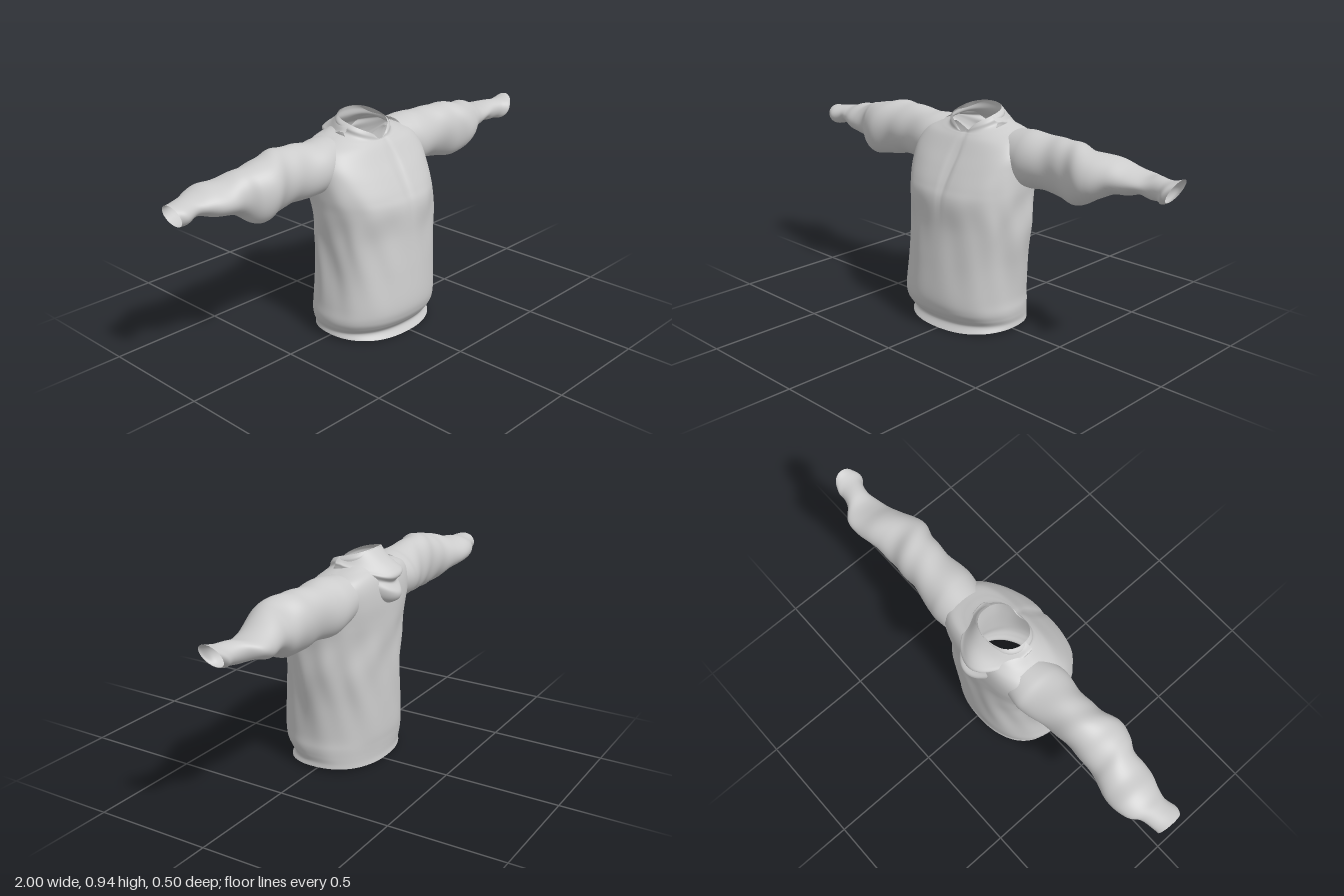
import * as THREE from 'three';

const material = new THREE.MeshStandardMaterial({ color: 0xcccccc, side: THREE.DoubleSide });

// Smoothly interpolate a table of cross-section rows at s in [0, 1]
function sampleRows(rows, s) {
  const f = s * (rows.length - 1), i = Math.min(Math.floor(f), rows.length - 2), t = f - i;
  const at = k => rows[Math.max(0, Math.min(rows.length - 1, k))];
  return rows[0].map((_, c) => {
    const a = at(i - 1)[c], b = at(i)[c], d = at(i + 1)[c], e = at(i + 2)[c];
    return b + 0.5 * t * (d - a + t * (2 * a - 5 * b + 4 * d - e + t * (3 * (b - d) + e - a)));
  });
}

// Grid surface; point(u, v) with u around and v along. Closed grids share the seam.
// Cells whose first corner satisfies isHole are left open.
function surface(name, nu, nv, closed, point, isHole = () => false) {
  const pos = [], idx = [], cols = closed ? nu : nu + 1;
  for (let j = 0; j <= nv; j++)
    for (let i = 0; i < cols; i++) pos.push(...point(i / nu, j / nv));
  for (let j = 0; j < nv; j++)
    for (let i = 0; i < nu; i++) {
      const k = (i + 1) % cols;
      const a = j * cols + i, b = j * cols + k, c = a + cols, d = b + cols;
      if (!isHole(...pos.slice(a * 3, a * 3 + 3))) idx.push(a, c, b, b, c, d);
    }
  const g = new THREE.BufferGeometry();
  g.setAttribute('position', new THREE.Float32BufferAttribute(pos, 3));
  g.setIndex(idx);
  g.computeVertexNormals();
  const mesh = new THREE.Mesh(g, material);
  mesh.name = name;
  return mesh;
}

const { smoothstep } = THREE.MathUtils;
const power = (v, p) => Math.sign(v) * Math.abs(v) ** p;
const bump = (v, centre, width) => Math.exp(-(((v - centre) / width) ** 2));

// Torso rows: y front, y back, centre x, half width, z front, z back
const torsoRows = [
  [0.002, 0.012, -0.015, 0.268, 0.217, -0.2],
  [0.035, 0.035, -0.015, 0.265, 0.2, -0.198],
  [0.065, 0.065, -0.02, 0.275, 0.222, -0.2],
  [0.1, 0.1, -0.022, 0.28, 0.242, -0.203],
  [0.16, 0.16, -0.02, 0.274, 0.25, -0.207],
  [0.3, 0.3, -0.01, 0.27, 0.236, -0.206],
  [0.45, 0.45, -0.002, 0.28, 0.218, -0.204],
  [0.57, 0.57, -0.008, 0.285, 0.216, -0.204],
  [0.63, 0.65, -0.013, 0.29, 0.195, -0.206],
  [0.7, 0.73, -0.016, 0.29, 0.155, -0.207],
  [0.76, 0.8, -0.016, 0.283, 0.115, -0.2],
  [0.81, 0.845, -0.015, 0.25, 0.082, -0.185],
  [0.832, 0.872, -0.015, 0.18, 0.064, -0.16],
  [0.838, 0.895, -0.016, 0.126, 0.058, -0.145],
  [0.848, 0.922, -0.017, 0.118, 0.056, -0.142],
  [0.86, 0.938, -0.018, 0.103, 0.052, -0.138],
];

function torsoPoint(u, v) {
  const [yf, yb, cx, w, zf, zb] = sampleRows(torsoRows, v);
  const a = u * Math.PI * 2, c = Math.cos(a), s = Math.sin(a);
  // Squarer across the chest and shoulders, rounder at the hem and neck
  const p = 0.88 - 0.16 * bump(v, 0.66, 0.13);
  const x = cx + w * power(c, p);
  // The collar rim rises in a convex arc from throat to nape
  let y = yf + (yb - yf) * ((1 - s) / 2) ** (1 - 0.45 * smoothstep(v, 0.7, 0.95));
  let z = (zf + zb) / 2 + (zf - zb) / 2 * power(s, p);
  // Cloth folds, stronger toward the sides and back
  const body = bump(y, 0.4, 0.22);
  const fold = body * (0.006 * Math.sin(a * 7 + y * 9 + 1.3 * Math.sin(y * 11))
    + 0.003 * Math.sin(a * 13 - y * 14));
  // Front placket crease and the notch between the collar ends
  if (s > 0) {
    z -= 0.012 * bump(x, 0.012, 0.013) * bump(y, 0.7, 0.13);
    y -= 0.03 * smoothstep(v, 0.88, 1) * bump(x, -0.003, 0.035);
  }
  // Uneven hem
  y += 0.01 * c * c * bump(y, 0, 0.03);
  return [x + fold * c, y, z + fold * s * (s < 0 ? 0.7 : 0.4)];
}

// Opening in the torso wall where each sleeve joins
const inArmhole = (x, y, z) =>
  Math.abs(x + 0.015) > 0.2 && ((y - 0.755) / 0.088) ** 2 + ((z + 0.068) / 0.09) ** 2 < 1;

// Sleeve rows: x, y bottom, y top, z back, z front
const leftSleeveRows = [
  [0.19, 0.66, 0.862, -0.18, 0.03],
  [0.25, 0.642, 0.867, -0.185, 0.045],
  [0.3, 0.63, 0.868, -0.178, 0.05],
  [0.4, 0.638, 0.865, -0.16, 0.035],
  [0.5, 0.62, 0.87, -0.155, 0.04],
  [0.58, 0.628, 0.853, -0.15, 0.062],
  [0.64, 0.66, 0.843, -0.155, 0.05],
  [0.7, 0.69, 0.828, -0.172, 0.02],
  [0.76, 0.693, 0.805, -0.18, -0.005],
  [0.82, 0.71, 0.792, -0.175, -0.02],
  [0.87, 0.705, 0.797, -0.135, -0.025],
  [0.92, 0.708, 0.797, -0.118, -0.015],
  [0.95, 0.705, 0.803, -0.118, 0.004],
  [0.972, 0.712, 0.812, -0.11, -0.008],
];
const rightSleeveRows = [
  [-0.2, 0.665, 0.862, -0.185, 0.03],
  [-0.25, 0.655, 0.864, -0.19, 0.045],
  [-0.3, 0.645, 0.863, -0.18, 0.05],
  [-0.4, 0.64, 0.872, -0.158, 0.035],
  [-0.5, 0.638, 0.882, -0.15, 0.04],
  [-0.59, 0.624, 0.87, -0.147, 0.068],
  [-0.65, 0.63, 0.85, -0.152, 0.06],
  [-0.7, 0.662, 0.838, -0.165, 0.028],
  [-0.76, 0.68, 0.818, -0.182, 0.022],
  [-0.82, 0.69, 0.812, -0.188, 0.012],
  [-0.87, 0.706, 0.797, -0.175, -0.008],
  [-0.91, 0.712, 0.793, -0.142, -0.018],
  [-0.96, 0.702, 0.787, -0.13, -0.003],
  [-0.988, 0.698, 0.785, -0.125, -0.012],
];

function sleevePoint(rows, phase, slant) {
  return (u, v) => {
    const [x, y0, y1, z0, z1] = sampleRows(rows, v);
    const a = u * Math.PI * 2, c = Math.cos(a), s = Math.sin(a), d = Math.abs(x);
    // Slanting wrinkles, fading out at the shoulder and cuff
    const fade = Math.sin(Math.PI * v) ** 0.7;
    const r = 1 + fade * (0.025 * Math.sin(d * 41 + 2 * a + phase + Math.sin(d * 13))
      + 0.03 * Math.sin(3 * a - d * 15 + phase));
    return [
      x + slant * v ** 4 * s * Math.sign(x),
      (y0 + y1) / 2 + (y1 - y0) / 2 * s * r,
      (z0 + z1) / 2 + (z1 - z0) / 2 * c * r,
    ];
  };
}

// Folded hood at the nape: z, y of the middle, then outward offset and y at the sides
const hoodRows = [
  [-0.135, 0.94, -0.004, 0.908],
  [-0.178, 0.897, 0.006, 0.898],
  [-0.224, 0.86, 0.012, 0.888],
  [-0.245, 0.835, 0.016, 0.88],
  [-0.222, 0.805, 0.016, 0.874],
  [-0.248, 0.765, 0.019, 0.868],
  [-0.236, 0.728, 0.022, 0.86],
  [-0.18, 0.705, 0.022, 0.85],
];

function hoodPoint(u, v) {
  const [zm, ym, off, ys] = sampleRows(hoodRows, v);
  const a = (u - 0.5) * Math.PI * 1.15, c = Math.cos(a), s = Math.sin(a);
  const k = Math.max(0, c) ** (0.8 + 0.5 * v);
  const x = -0.017 + (0.108 + off + 0.015 * Math.sin(Math.PI * v)) * s;
  const zSide = -0.043 - (0.092 + off) * c;
  const zMid = -0.043 + (zm + 0.043) * Math.max(0, c) ** 0.7;
  const ripple = 0.005 * Math.sin(v * 9 + s * 4) * Math.sin(Math.PI * v);
  return [x, ys + (ym - ys) * k + ripple, zSide + (zMid - zSide) * k - ripple];
}

export function createModel() {
  const model = new THREE.Group();
  model.name = 'hoodedTop';
  model.add(
    surface('torso', 160, 120, true, torsoPoint, inArmhole),
    surface('leftSleeve', 48, 90, true, sleevePoint(leftSleeveRows, 0.6, 0.028)),
    surface('rightSleeve', 48, 90, true, sleevePoint(rightSleeveRows, 2.1, 0.012)),
    surface('foldedHood', 56, 42, false, hoodPoint),
  );
  return model;
}
